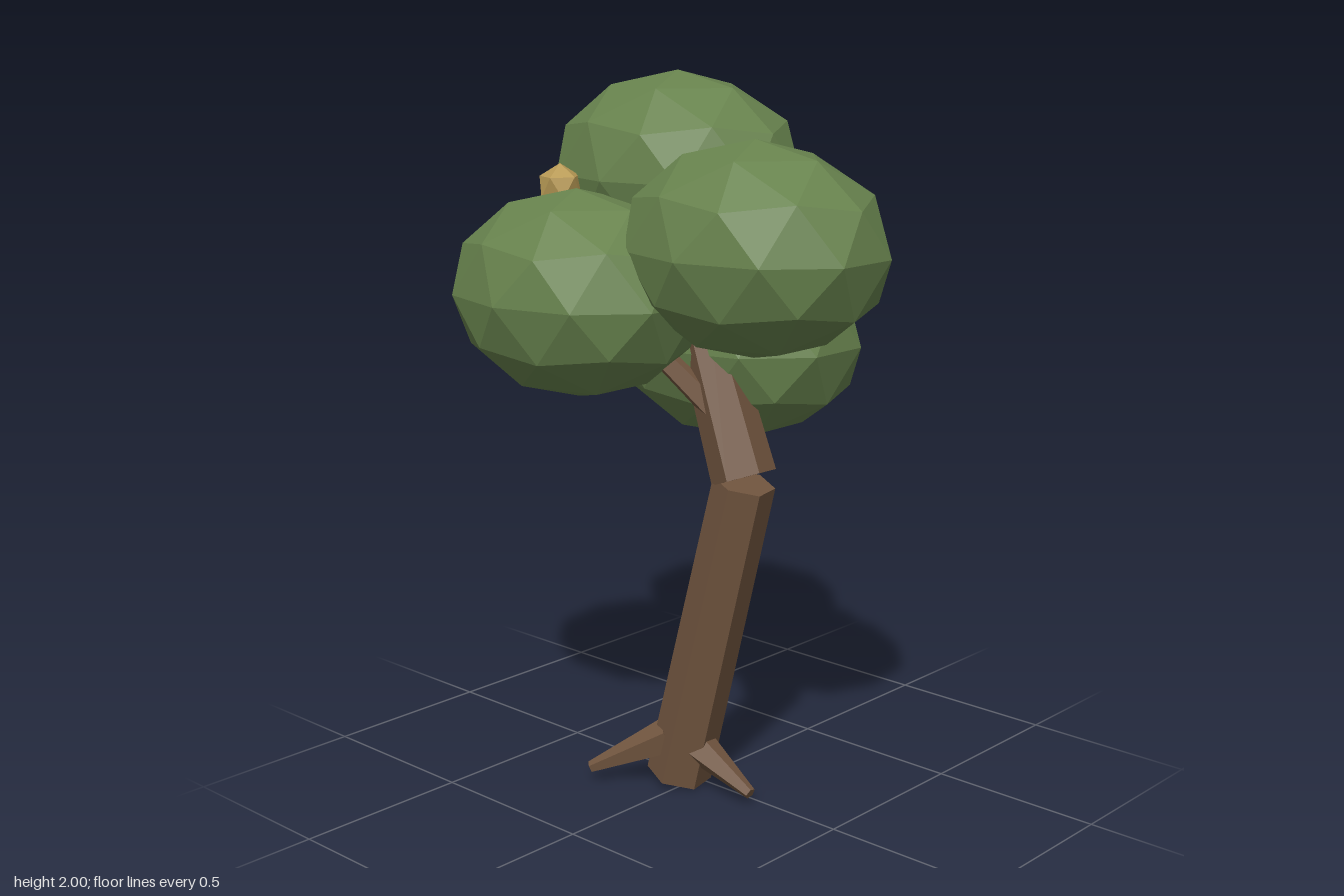
import * as THREE from 'three';

export function createModel() {
  const model = new THREE.Group();
  model.name = 'tree';

  const material = (name, color) => {
    const m = new THREE.MeshStandardMaterial({ color, flatShading: true });
    m.name = name;
    return m;
  };
  const bark = material('bark brown', 0x70543e);
  const leaf = material('leaf green', 0x67824d);
  const gold = material('fruit gold', 0xb89a55);

  const add = (name, geometry, mat) => {
    const mesh = new THREE.Mesh(geometry, mat);
    mesh.name = name;
    model.add(mesh);
    return mesh;
  };

  // Tapered faceted limb running from one point to another
  const limb = (name, from, to, r0, r1, sides, twist = 0) => {
    const a = new THREE.Vector3(...from), b = new THREE.Vector3(...to);
    const dir = b.clone().sub(a);
    const geometry = new THREE.CylinderGeometry(r1, r0, dir.length(), sides);
    geometry.rotateY(twist);
    const mesh = add(name, geometry, bark);
    mesh.position.copy(a).add(b).multiplyScalar(0.5);
    mesh.quaternion.setFromUnitVectors(new THREE.Vector3(0, 1, 0), dir.normalize());
  };

  // Icosahedral ball with one corner pointing straight up
  const ball = (name, center, radii, detail, mat) => {
    const geometry = new THREE.IcosahedronGeometry(1, detail);
    geometry.rotateZ(-Math.atan(2 / (1 + Math.sqrt(5))));
    geometry.scale(...radii);
    add(name, geometry, mat).position.set(...center);
  };

  // Bent trunk
  limb('lowerTrunk', [-0.04, 0.022, 0.036], [0.182, 0.922, 0.013], 0.093, 0.086, 6, 0.2);
  limb('upperTrunk', [0.178, 0.935, 0.01], [-0.01, 1.42, 0], 0.09, 0.072, 6, 0.2);

  // Short branches reaching into the leaves
  limb('frontBranch', [0.1, 1.12, 0.04], [-0.16, 1.38, 0.16], 0.042, 0.028, 5);
  limb('backBranch', [0.14, 1.0, 0], [0.0, 1.08, -0.1], 0.042, 0.028, 5);

  // Roots
  const rootTips = [[-0.222, 0.04, 0.215], [0.235, 0.038, 0.04], [-0.17, 0.04, -0.172]];
  const rootStarts = [[-0.05, 0.14, 0.07], [0.02, 0.13, 0.036], [-0.04, 0.14, 0.0]];
  rootTips.forEach((tip, i) => limb('root', rootStarts[i], tip, 0.055, 0.017, 5));

  // Leaf clumps
  const clumps = [
    [-0.22, 1.715, -0.157],
    [-0.25, 1.415, 0.21],
    [0.245, 1.565, 0.05],
    [-0.05, 1.265, -0.215],
  ];
  for (const c of clumps) ball('leafClump', c, [0.39, 0.285, 0.31], 1, leaf);

  // Fruit resting on the front clump
  ball('fruit', [-0.363, 1.692, 0.162], [0.064, 0.064, 0.064], 0, gold);

  return model;
}
